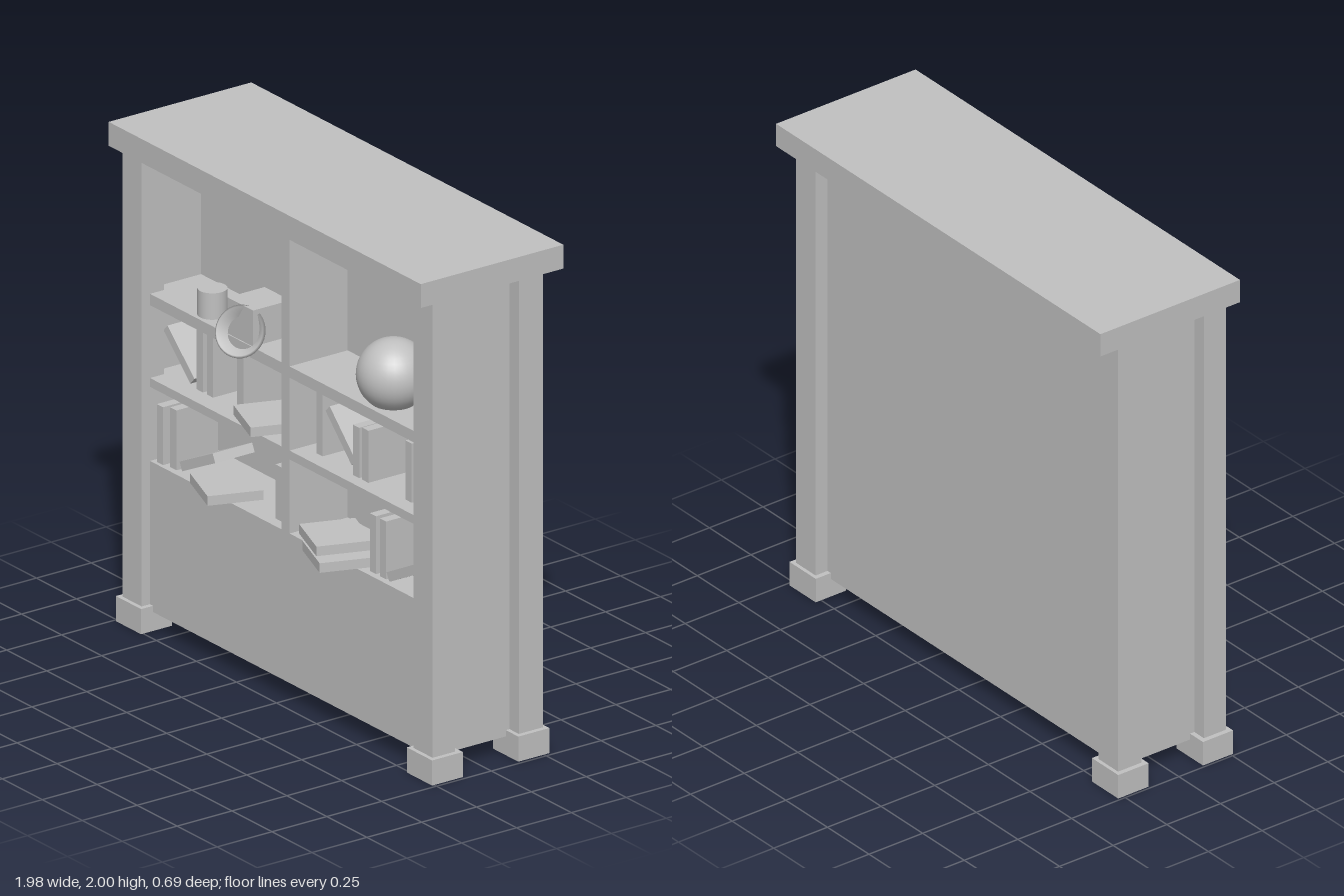
import * as THREE from 'three';

export function createModel() {
  const model = new THREE.Group();
  model.name = 'bookcase';
  const grey = new THREE.MeshStandardMaterial({ color: 0xc0c0c0 });
  grey.name = 'plain grey';

  const add = (name, geometry, parent = model) => {
    const mesh = new THREE.Mesh(geometry, grey);
    mesh.name = name;
    parent.add(mesh);
    return mesh;
  };
  // Box given by its limits on each axis
  const block = (name, x0, x1, y0, y1, z0, z1, parent = model) => {
    const mesh = add(name, new THREE.BoxGeometry(x1 - x0, y1 - y0, z1 - z0), parent);
    mesh.position.set((x0 + x1) / 2, (y0 + y1) / 2, (z0 + z1) / 2);
    return mesh;
  };

  // Cabinet
  block('cornice', -0.98, 0.97, 1.905, 2, -0.35, 0.3);
  block('backPanel', -0.912, 0.908, 0.075, 1.905, -0.205, -0.06);
  block('lowerFront', -0.912, 0.908, 0.075, 0.67, -0.06, 0.205);
  block('divider', -0.03, 0.02, 0.67, 1.905, -0.06, 0.205);
  block('middleShelf', -0.9, 0.896, 0.965, 1.0, -0.06, 0.205);
  block('upperShelf', -0.9, 0.896, 1.29, 1.335, -0.06, 0.205);

  // Sides, corner posts and feet
  for (const s of [-1, 1]) {
    const cx = s * 0.909 - 0.002;
    block('sidePanel', s * 0.902 - 0.01, s * 0.902 + 0.006, 0.67, 1.905, -0.06, 0.205);
    block('frontPost', cx - 0.059, cx + 0.059, 0.075, 1.905, 0.14, 0.243);
    block('backPost', cx - 0.059, cx + 0.059, 0.075, 1.905, -0.26, -0.15);
    block('frontFoot', cx - 0.079, cx + 0.079, 0, 0.1, 0.12, 0.26);
    block('backFoot', cx - 0.079, cx + 0.079, 0, 0.1, -0.275, -0.133);
  }

  const books = new THREE.Group();
  books.name = 'books';
  model.add(books);

  // Upright books: left edge, bottom, top, front
  for (const [x, y0, y1, z] of [
    [-0.83, 0.67, 0.9, 0.19], [-0.76, 0.67, 0.908, 0.18], [-0.13, 0.67, 0.885, 0.16],
    [0.487, 0.67, 0.9, 0.18], [0.55, 0.67, 0.9, 0.18],
    [-0.663, 1.0, 1.245, 0.13], [-0.6, 1.0, 1.245, 0.13], [-0.424, 1.0, 1.225, 0.12],
    [0.098, 1.0, 1.245, 0.14], [0.348, 1.0, 1.2, 0.155], [0.405, 1.0, 1.207, 0.155],
    [0.655, 1.0, 1.235, 0.14], [0.772, 1.0, 1.235, 0.14],
  ]) block('uprightBook', x, x + 0.039, y0, y1, z - 0.19, z, books);

  // Leaning books: centre, slope in degrees, front
  for (const [x, y, angle, z] of [
    [-0.59, 0.745, 26, 0.18], [0.703, 0.735, 27, 0.18],
    [-0.76, 1.108, -43, 0.14], [0.25, 1.12, -45, 0.14],
  ]) {
    const book = add('leaningBook', new THREE.BoxGeometry(0.23, 0.037, 0.18), books);
    book.position.set(x, y, z - 0.09);
    book.rotation.z = THREE.MathUtils.degToRad(angle);
  }

  // Lying books, turned on the shelf: nearest corner x, z and bottom
  const turn = THREE.MathUtils.degToRad(20);
  const c = Math.cos(turn), s = Math.sin(turn);
  for (const [x, z, y] of [
    [-0.355, 0.305, 0.68], [0.4, 0.345, 0.673], [0.355, 0.327, 0.72], [-0.12, 0.28, 1.025],
  ]) {
    const w = 0.23, d = 0.215;
    const book = add('lyingBook', new THREE.BoxGeometry(w, 0.038, d), books);
    book.position.set(x - c * w / 2 + s * d / 2, y + 0.019, z - s * w / 2 - c * d / 2);
    book.rotation.y = -turn;
  }

  // Ornaments on the upper shelf
  const jar = add('jar', new THREE.CylinderGeometry(0.056, 0.056, 0.105, 32));
  jar.position.set(-0.558, 1.3875, 0.135);
  block('smallBox', -0.375, -0.215, 1.335, 1.478, 0.03, 0.2);
  const globe = add('globe', new THREE.SphereGeometry(0.139, 32, 20));
  globe.position.set(0.525, 1.448, 0.1);

  // Tapered ring leaning against the box
  const profile = [[0.062, -0.02], [0.072, -0.025], [0.1, 0.012], [0.092, 0.02], [0.062, -0.02]]
    .map(([r, y]) => new THREE.Vector2(r, y));
  const ring = add('ring', new THREE.LatheGeometry(profile, 32));
  ring.material = grey;
  grey.side = THREE.DoubleSide;
  ring.position.set(-0.257, 1.385, 0.222);
  ring.quaternion.setFromUnitVectors(
    new THREE.Vector3(0, 1, 0), new THREE.Vector3(0.45, 0.45, 0.77).normalize());

  return model;
}
